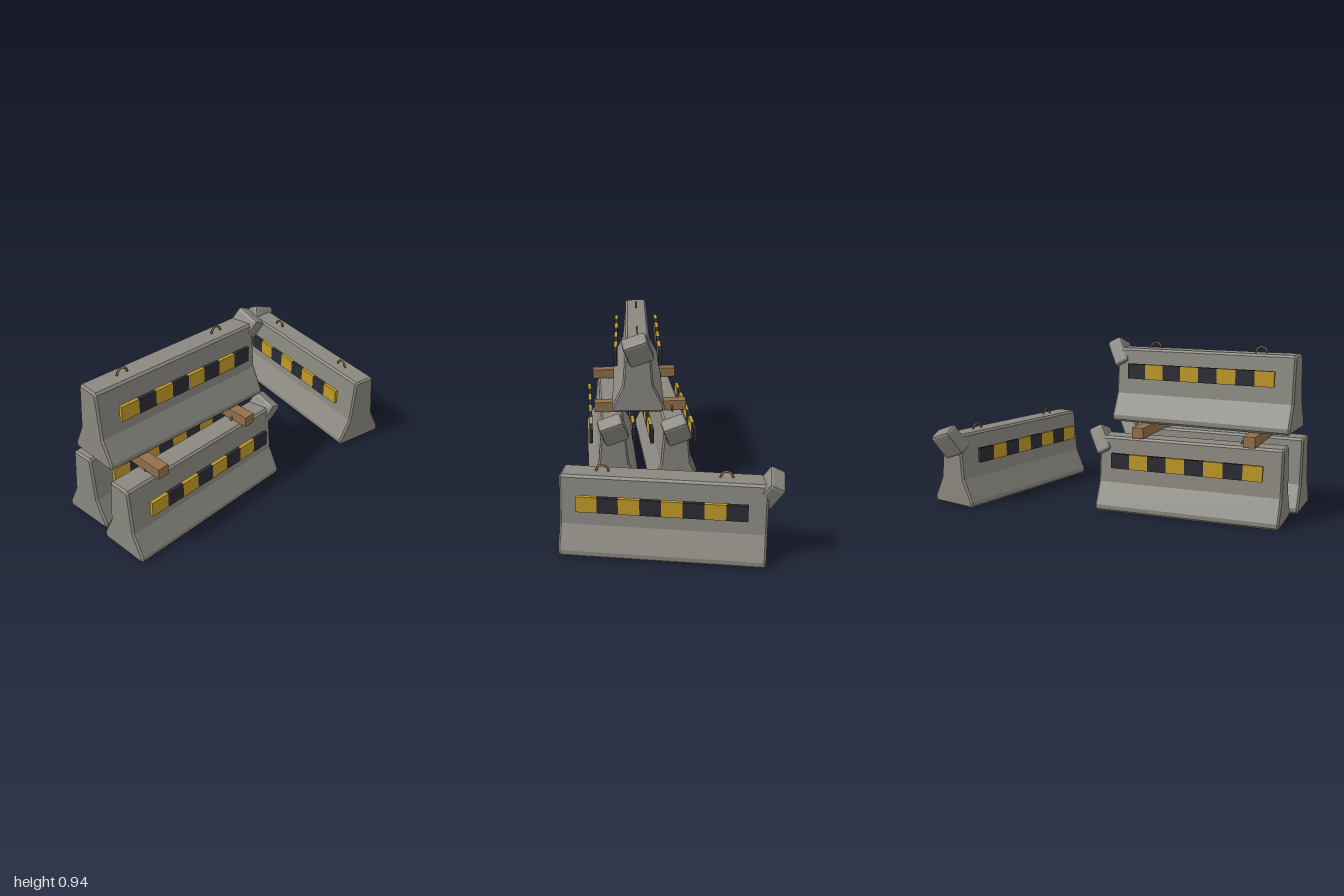
import * as THREE from 'three';
import { RoundedBoxGeometry } from 'three/addons/geometries/RoundedBoxGeometry.js';

const LENGTH = 1.03, HEIGHT = 0.41, BEVEL = 0.01;

const mat = (name, color) => {
  const m = new THREE.MeshStandardMaterial({ color });
  m.name = name;
  return m;
};

function add(parent, name, geometry, material, x = 0, y = 0, z = 0) {
  const mesh = new THREE.Mesh(geometry, material);
  mesh.name = name;
  mesh.position.set(x, y, z);
  parent.add(mesh);
  return mesh;
}

// Box with flat chamfered edges
function chamferBox(w, h, d, r) {
  const g = new RoundedBoxGeometry(w, h, d, 1, r);
  g.computeVertexNormals();
  return g;
}

// Flared road-barrier section, mirrored and extruded along x
function barrierGeometry() {
  const half = [[0.137, 0], [0.148, 0.012], [0.148, 0.035], [0.088, 0.155], [0.066, 0.398], [0.055, HEIGHT]];
  const mirrored = half.map(([x, y]) => [-x, y]).reverse();
  const shape = new THREE.Shape([...half, ...mirrored].map(([x, y]) => new THREE.Vector2(x, y)));
  const depth = LENGTH - 2 * BEVEL;
  return new THREE.ExtrudeGeometry(shape, {
    depth, bevelEnabled: true, bevelSegments: 1,
    bevelThickness: BEVEL, bevelSize: BEVEL, bevelOffset: -BEVEL,
  }).translate(0, 0, -depth / 2).rotateY(Math.PI / 2);
}

export function createModel() {
  const model = new THREE.Group();
  model.name = 'barrierStack';

  const concrete = mat('concrete', 0x8a8880);
  const yellow = mat('warning yellow', 0xc29a28);
  const black = mat('warning black', 0x2b2b34);
  const wood = mat('wood', 0x92704a);
  const rust = mat('rusty steel', 0x8a6238);

  const bodyGeo = barrierGeometry();
  const lumpGeo = chamferBox(0.09, 0.158, 0.145, 0.017);
  const stripeGeo = new THREE.BoxGeometry(0.105, 0.083, 0.02);
  const loopGeo = new THREE.TorusGeometry(0.031, 0.006, 6, 6, Math.PI);

  function barrier(name, x, y, z, degrees) {
    const g = new THREE.Group();
    g.name = name;
    add(g, 'body', bodyGeo, concrete);

    // Broken chunk tilted on the end
    add(g, 'brokenChunk', lumpGeo, concrete, 0.52, 0.368, 0).rotation.set(0.33, 0, -0.5);

    // Warning boards on both sides
    for (const side of [-1, 1]) {
      for (let i = 0; i < 8; i++) {
        add(g, 'warningStripe', stripeGeo, i % 2 ? black : yellow, (i - 3.5) * 0.105, 0.288, side * 0.126);
      }
    }

    // Lifting loops on the top
    for (const side of [-1, 1]) add(g, 'liftingLoop', loopGeo, rust, side * 0.308, HEIGHT + 0.002, 0);

    g.position.set(x, y, z);
    g.rotation.y = THREE.MathUtils.degToRad(degrees);
    model.add(g);
  }

  barrier('frontBarrier', -0.483, 0, 0.24, 0);
  barrier('backBarrier', -0.45, 0, -0.105, 1.5);
  barrier('topBarrier', -0.472, 0.473, 0.07, -2.9);
  barrier('looseBarrier', 0.742, 0, 0.015, 78);

  // Timber spacers under the upper barrier
  const spacerGeo = chamferBox(0.066, 0.06, 0.54, 0.004);
  for (const x of [-0.79, -0.167]) add(model, 'woodSpacer', spacerGeo, wood, x, 0.442, 0.072);

  return model;
}
